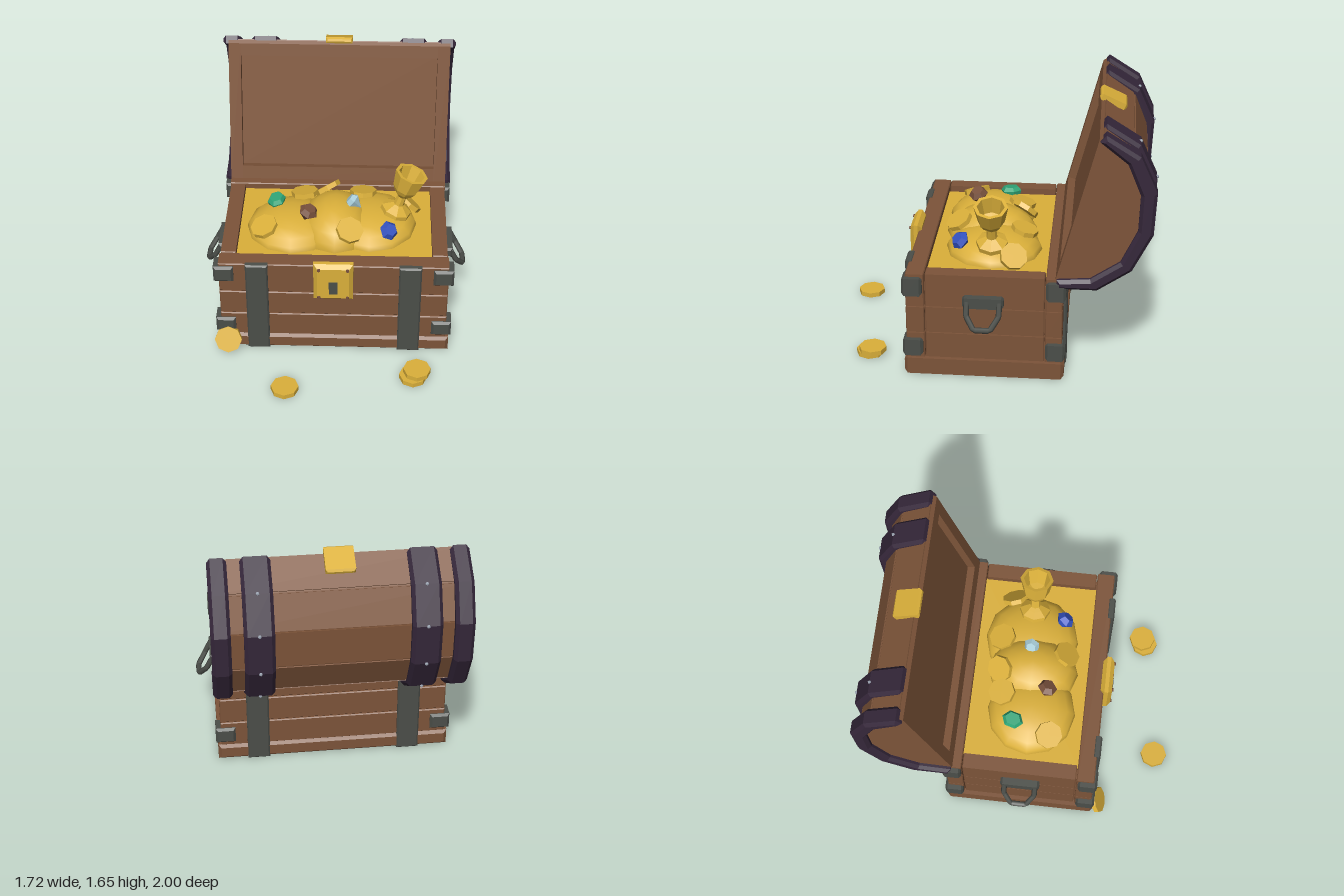
import * as THREE from 'three';

const mat = (name, color, extra = {}) => Object.assign(new THREE.MeshStandardMaterial({ color, ...extra }), { name });

export function createModel() {
  const wood = mat('wood', 0x7d5439);
  const iron = mat('iron', 0x4b4e49);
  const band = mat('dark purple band', 0x35273a);
  const gold = mat('gold', 0xdbb03a);
  const steel = mat('steel rivet', 0x9aa3b0);
  const emerald = mat('emerald', 0x2fa577);
  const sapphire = mat('sapphire', 0x3352c0);
  const diamond = mat('diamond', 0xa6cad6);
  const garnet = mat('brown gem', 0x77503c);

  const root = new THREE.Group();
  root.name = 'treasureChest';
  const add = (name, geo, material, pos = [0, 0, 0], rot = [0, 0, 0], parent = root) => {
    const m = new THREE.Mesh(geo, material);
    m.name = name;
    m.position.set(...pos);
    m.rotation.set(...rot);
    parent.add(m);
    return m;
  };
  const poly = pts => new THREE.Shape(pts.map(p => new THREE.Vector2(...p)));
  // box with chamfered edges
  const chamfer = (w, h, d, b) => {
    const x = w / 2 - b, y = h / 2 - b;
    return new THREE.ExtrudeGeometry(poly([[-x, -y], [x, -y], [x, y], [-x, y]]),
      { depth: d - 2 * b, bevelSize: b, bevelThickness: b, bevelSegments: 1 }).center();
  };
  // chamfered box given by its min and max corners
  const block = (name, material, a, c, b = 0.008) => add(name,
    chamfer(c[0] - a[0], c[1] - a[1], c[2] - a[2], b), material, a.map((v, i) => (v + c[i]) / 2));
  // (z, y) outline extruded along x between x0 and x1
  const alongX = (pts, x0, x1, b = 0) => {
    const g = new THREE.ExtrudeGeometry(poly(pts), {
      depth: x1 - x0 - 2 * b, bevelEnabled: b > 0, bevelSize: b, bevelThickness: b, bevelOffset: -b, bevelSegments: 1 });
    g.rotateY(-Math.PI / 2);
    g.translate(x1 - b, 0, 0);
    return g;
  };

  // Body: plinth, core and plank walls
  block('base', wood, [-0.745, 0, -0.475], [0.745, 0.11, 0.52], 0.02);
  add('core', new THREE.BoxGeometry(1.39, 0.52, 0.9), wood, [0, 0.36, 0.023]);
  const rows = [[0.105, 0.28], [0.286, 0.46], [0.466, 0.685]];
  for (const [y0, y1] of rows) {
    block('frontPlank', wood, [-0.725, y0, 0.39], [0.725, y1, 0.505], 0.006);
    block('backPlank', wood, [-0.725, y0, -0.46], [0.725, y1, -0.355], 0.006);
    for (const s of [-1, 1]) {
      block('sidePlank', wood, [s > 0 ? 0.622 : -0.718, y0, -0.35], [s > 0 ? 0.718 : -0.622, y1, 0.385], 0.006);
    }
  }

  // Iron corners, straps and handles
  for (const s of [-1, 1]) {
    const span = (a, b) => s > 0 ? [a, b] : [-b, -a];
    const [cx0, cx1] = span(0.63, 0.757);
    for (const [y0, y1] of [[0.135, 0.245], [0.55, 0.668]]) {
      block('cornerBracket', iron, [cx0, y0, 0.4], [cx1, y1, 0.525], 0.015);
      block('cornerBracket', iron, [cx0, y0, -0.48], [cx1, y1, -0.358], 0.015);
    }
    const [sx0, sx1] = span(0.413, 0.555);
    block('frontStrap', iron, [sx0, 0, 0.48], [sx1, 0.69, 0.528], 0.01);
    block('backStrap', iron, [sx0, 0, -0.483], [sx1, 0.68, -0.44], 0.01);

    const [hx0, hx1] = span(0.705, 0.765);
    block('handleMount', iron, [hx0, 0.485, -0.102], [hx1, 0.555, 0.153], 0.015);
    const ring = new THREE.CurvePath();
    const pts = [[0.752, 0.525, -0.075], [0.79, 0.45, -0.075], [0.84, 0.38, -0.025],
      [0.84, 0.38, 0.075], [0.79, 0.45, 0.125], [0.752, 0.525, 0.125]]
      .map(p => new THREE.Vector3(p[0] * s, p[1], p[2]));
    for (let i = 0; i < pts.length - 1; i++) ring.add(new THREE.LineCurve3(pts[i], pts[i + 1]));
    add('handle', new THREE.TubeGeometry(ring, 24, 0.018, 6), iron);
  }

  // Lock with keyhole and rivets
  block('lockPlate', gold, [-0.125, 0.445, 0.485], [0.125, 0.725, 0.56], 0.025);
  add('keyhole', new THREE.BoxGeometry(0.054, 0.095, 0.008), iron, [0, 0.552, 0.562]);
  for (const x of [-0.09, 0.09]) for (const y of [0.475, 0.695]) {
    add('lockRivet', new THREE.CylinderGeometry(0.01, 0.012, 0.01, 6), garnet, [x, y, 0.563], [Math.PI / 2, 0, 0]);
  }

  // Lid: outlines are (z, y)
  const H = [-0.41, 0.675], T = [-0.65, 1.6];
  const curve = [[-0.67, 1.613], [-0.857, 1.484], [-0.942, 1.275], [-0.934, 1.027], [-0.83, 0.803], [-0.64, 0.673]];
  const rimPoint = (t, d) => [H[0] + t * (T[0] - H[0]) - 0.968 * d, H[1] + t * (T[1] - H[1]) - 0.25 * d];
  const notch = [rimPoint(0.105, 0), rimPoint(0.105, 0.05), rimPoint(0.914, 0.05), rimPoint(0.914, 0)];
  add('lidCenter', alongX([H, ...notch, T, ...curve], -0.645, 0.645), wood);
  for (const s of [-1, 1]) {
    add('lidEnd', alongX([H, T, ...curve], s > 0 ? 0.645 : -0.725, s > 0 ? 0.725 : -0.645), wood);
  }
  for (let i = 0; i < curve.length - 1; i++) {
    const [a, b] = [curve[i], curve[i + 1]];
    const dz = b[0] - a[0], dy = b[1] - a[1];
    add('lidPlank', new THREE.BoxGeometry(1.45, 0.014, Math.hypot(dz, dy) - 0.012), wood,
      [0, (a[1] + b[1]) / 2, (a[0] + b[0]) / 2], [Math.atan2(-dy, dz), 0, 0]);
  }

  // Curved lid bands
  const outer = [[-0.69, 1.635], [-0.893, 1.508], [-0.997, 1.283], [-0.985, 1.016], [-0.866, 0.775], [-0.663, 0.636], [-0.422, 0.636]];
  const inner = [[-0.42, 0.695], [-0.62, 0.71], [-0.797, 0.83], [-0.893, 1.037], [-0.9, 1.267], [-0.82, 1.46], [-0.655, 1.592]];
  for (const [x0, x1] of [[0.647, 0.762], [0.395, 0.573]]) for (const s of [-1, 1]) {
    add('lidBand', alongX([...outer, ...inner], s > 0 ? x0 : -x1, s > 0 ? x1 : -x0, 0.02), band);
    if (x0 < 0.5) for (const [z, y] of outer.slice(1, 5)) {
      add('bandRivet', new THREE.IcosahedronGeometry(0.012, 0), steel, [s * 0.484, y, z]);
    }
  }
  add('lidClasp', chamfer(0.175, 0.04, 0.18, 0.012), gold, [0, 1.6, -0.725], [-0.43, 0, 0]);

  // Gold heap
  add('goldFill', new THREE.BoxGeometry(1.25, 0.04, 0.75), gold, [0, 0.622, 0.017]);
  const dome = new THREE.SphereGeometry(1, 12, 5, 0, Math.PI * 2, 0, Math.PI / 2);
  for (const [x, z, rx, ry, rz] of [[-0.28, 0.05, 0.3, 0.145, 0.29], [0, 0.03, 0.24, 0.205, 0.3], [0.22, 0, 0.31, 0.145, 0.31]]) {
    add('goldMound', dome, gold, [x, 0.63, z]).scale.set(rx, ry, rz);
  }

  // Coins on the heap and on the ground
  const coin = new THREE.CylinderGeometry(0.088, 0.088, 0.032, 8).toNonIndexed();
  coin.computeVertexNormals();
  const coins = [
    [-0.21, 0.77, -0.15, -0.25, 0.1], [-0.06, 0.79, -0.18, -0.6, 0.5], [0.175, 0.755, -0.19, -0.3, 0],
    [0.48, 0.71, -0.14, -0.4, -0.7], [-0.455, 0.735, 0.18, 0.25, 0.3], [0.095, 0.765, 0.24, 0.5, -0.25],
    [-0.295, 0.016, 0.905, 0, 0], [0.515, 0.016, 0.775, 0, 0], [0.54, 0.048, 0.755, 0, 0],
    [-0.68, 0.092, 0.55, 1.13, 0],
  ];
  for (const [x, y, z, rx, rz] of coins) add('coin', coin, gold, [x, y, z], [rx, 0, rz]);

  // Faceted solids of revolution
  const facet = (pts, n) => {
    const g = new THREE.LatheGeometry(pts.map(p => new THREE.Vector2(...p)), n).toNonIndexed();
    g.computeVertexNormals();
    return g;
  };
  add('goblet', facet([[0, 0], [0.1, 0], [0.1, 0.035], [0.06, 0.06], [0.035, 0.075], [0.03, 0.14], [0.045, 0.155],
    [0.065, 0.175], [0.085, 0.21], [0.108, 0.325], [0.086, 0.325], [0.066, 0.22], [0, 0.19]], 8), gold,
  [0.383, 0.735, 0], [0, 0, -0.32]);

  // Gems
  const gem = facet([[0, -0.075], [0.064, 0.01], [0.04, 0.045], [0, 0.045]], 6);
  add('brownGem', gem, garnet, [-0.175, 0.825, 0.14], [0.2, 0, -0.35]);
  add('sapphireGem', gem, sapphire, [0.34, 0.735, 0.2], [0.9, 0.3, -0.5]);
  add('diamondGem', gem, diamond, [0.115, 0.82, 0.01], [-0.5, 0.2, 0.9]).scale.setScalar(0.85);
  add('emeraldGem', facet([[0, -0.03], [0.055, -0.02], [0.062, 0.005], [0.045, 0.03], [0, 0.03]], 6), emerald,
    [-0.39, 0.77, -0.06], [0.1, -0.25, 0.1]).scale.set(0.95, 1, 1.15);

  return root;
}
